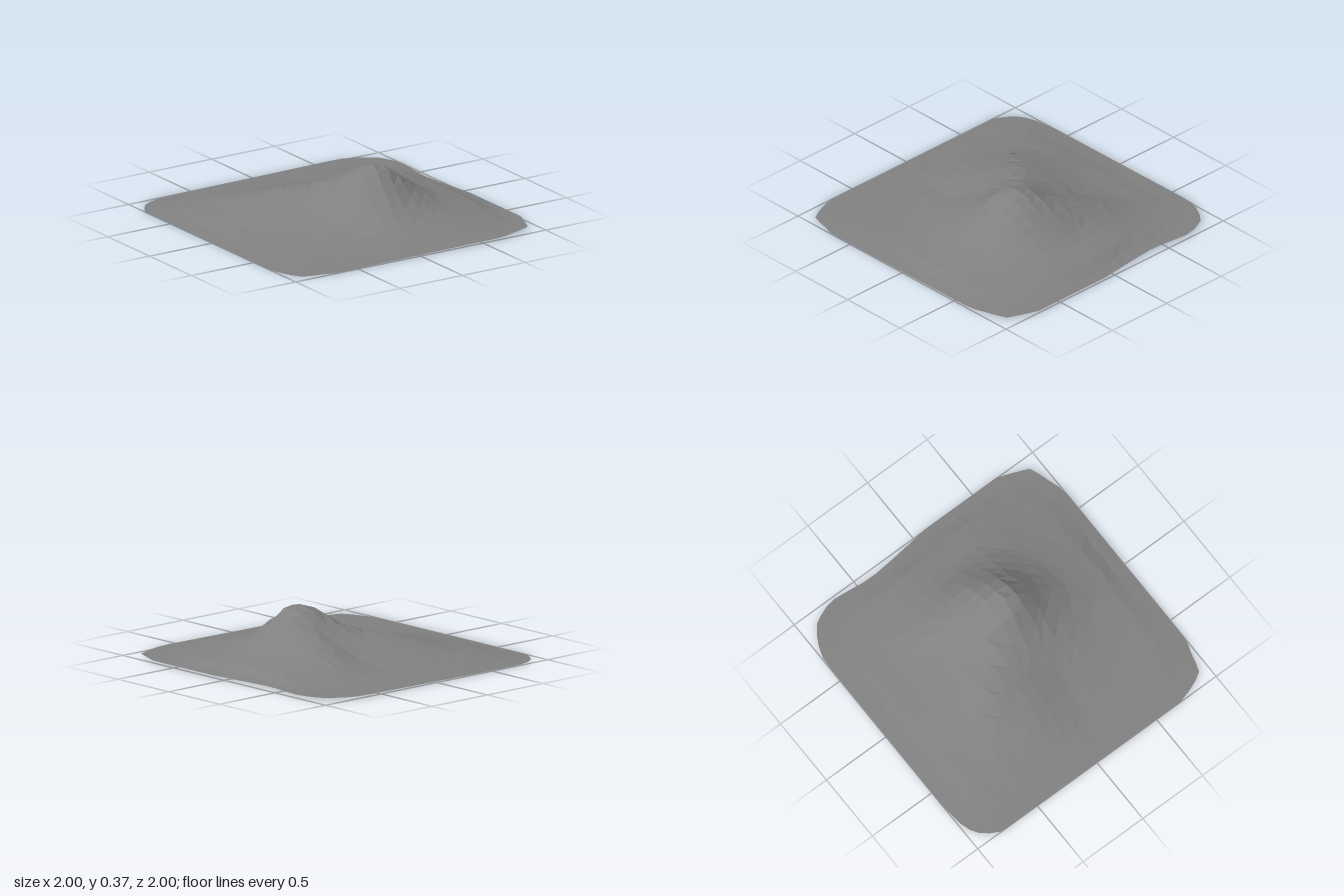
import * as THREE from 'three';

// Rounded summit, and heights at these distances along 16 bearings
// (starting at +x and turning through +z, -x and -z).
const PEAK = { x: 0.19, y: 0.375, z: 0.14 };
const REACH = [0, 0.1, 0.15, 0.3, 0.45, 0.6, 0.8, 1.0, 1.3];
const SHOULDER = 0.352;
const SLOPES = [
  [0.32, 0.20, 0.11, 0.08, 0.03, 0.02, 0.02],
  [0.32, 0.19, 0.11, 0.08, 0.04, 0.02, 0.02],
  [0.31, 0.18, 0.11, 0.075, 0.04, 0.025, 0.02],
  [0.30, 0.17, 0.105, 0.075, 0.045, 0.02, 0.02],
  [0.305, 0.18, 0.105, 0.07, 0.035, 0.02, 0.02],
  [0.31, 0.19, 0.115, 0.07, 0.035, 0.02, 0.02],
  [0.31, 0.18, 0.11, 0.06, 0.035, 0.025, 0.015],
  [0.31, 0.18, 0.11, 0.065, 0.035, 0.025, 0.015],
  [0.31, 0.19, 0.12, 0.075, 0.04, 0.025, 0.015],
  [0.32, 0.21, 0.17, 0.15, 0.1, 0.05, 0.02],
  [0.32, 0.245, 0.20, 0.185, 0.135, 0.07, 0.03],
  [0.32, 0.24, 0.18, 0.135, 0.08, 0.045, 0.02],
  [0.315, 0.21, 0.15, 0.09, 0.05, 0.03, 0.02],
  [0.32, 0.23, 0.195, 0.14, 0.065, 0.035, 0.02],
  [0.33, 0.25, 0.17, 0.11, 0.06, 0.03, 0.02],
  [0.33, 0.23, 0.13, 0.09, 0.05, 0.03, 0.02],
];

// Rounded, slightly wavy border of the land, as x, z pairs
const BORDER = [
  [1, 0.1], [1, 0.7], [0.955, 0.82], [0.91, 0.925], [0.82, 0.945], [0.66, 1],
  [-0.68, 1], [-0.78, 0.965], [-0.9, 0.94], [-0.96, 0.84], [-1, 0.7],
  [-1, -0.8], [-0.94, -0.91], [-0.83, -0.98], [-0.62, -1],
  [0.68, -1], [0.82, -0.95], [0.92, -0.87], [0.98, -0.72], [0.975, -0.62],
  [0.955, -0.5], [0.95, -0.36], [0.965, -0.2],
];

const { lerp, clamp } = THREE.MathUtils;

// Height along one bearing at distance r from the summit
function slopeHeight(slope, r) {
  const h = [PEAK.y, SHOULDER, ...slope];
  for (let i = 1; i < REACH.length; i++) {
    if (r <= REACH[i]) {
      return lerp(h[i - 1], h[i], (r - REACH[i - 1]) / (REACH[i] - REACH[i - 1]));
    }
  }
  return h[h.length - 1];
}

// Terrain height at any point, blended between the two nearest bearings
function landHeight(x, z) {
  const dx = x - PEAK.x, dz = z - PEAK.z;
  const r = Math.hypot(dx, dz);
  const n = SLOPES.length;
  const b = ((Math.atan2(dz, dx) / (2 * Math.PI) + 1) % 1) * n;
  const i = Math.floor(b) % n;
  return lerp(slopeHeight(SLOPES[i], r), slopeHeight(SLOPES[(i + 1) % n], r), b - Math.floor(b));
}

// How many times (dx, dz) fits between the summit and the border
function borderScale(dx, dz) {
  let scale = 1;
  BORDER.forEach(([x, z], i) => {
    const [x2, z2] = BORDER[(i + 1) % BORDER.length];
    const ex = x2 - x, ez = z2 - z, px = x - PEAK.x, pz = z - PEAK.z;
    const cross = dx * ez - dz * ex;
    const s = (px * ez - pz * ex) / cross;
    const t = (px * dz - pz * dx) / cross;
    if (s > 0 && t >= 0 && t <= 1) scale = s;
  });
  return scale;
}

// Square grid centred on the summit, its outer cells pulled onto the border
function terrainGeometry() {
  const half = 10, side = 2 * half + 1;
  const positions = [], index = [];
  let seed = 7;
  const jitter = (a) => {
    seed = (seed * 16807) % 2147483647;
    return (seed / 2147483647 - 0.5) * a;
  };

  for (let row = -half; row <= half; row++) {
    for (let col = -half; col <= half; col++) {
      const level = Math.max(Math.abs(row), Math.abs(col));
      if (level === 0) {
        positions.push(PEAK.x, PEAK.y, PEAK.z);
        continue;
      }
      const t = level / half;
      const dx = col / level - PEAK.x, dz = row / level - PEAK.z;
      const s = t * borderScale(dx, dz);
      const loose = level > 1 && level < half ? 0.035 : 0;
      const x = PEAK.x + dx * s + jitter(loose);
      const z = PEAK.z + dz * s + jitter(loose);
      // Land settles to the thin rim over the last stretch
      const rim = 0.012 + 0.008 * x;
      positions.push(x, lerp(rim, landHeight(x, z), clamp((1 - t) / 0.2, 0, 1)), z);
    }
  }

  // Two triangles per cell, the diagonal following the flatter pair of corners
  const y = (i) => positions[3 * i + 1];
  for (let r = 0; r < side - 1; r++) {
    for (let c = 0; c < side - 1; c++) {
      const a = r * side + c, b = a + 1, d = a + side, e = d + 1;
      if (Math.abs(y(a) - y(e)) < Math.abs(y(b) - y(d))) index.push(a, d, e, a, e, b);
      else index.push(a, d, b, b, d, e);
    }
  }

  const geometry = new THREE.BufferGeometry();
  geometry.setAttribute('position', new THREE.Float32BufferAttribute(positions, 3));
  geometry.setIndex(index);
  geometry.computeVertexNormals();
  return geometry;
}

export function createModel() {
  const group = new THREE.Group();
  group.name = 'mountainTerrain';

  // Thin open sheet of land rising to one peak with two spurs
  const land = new THREE.Mesh(
    terrainGeometry(),
    new THREE.MeshStandardMaterial({ color: 0x808080, flatShading: true, side: THREE.DoubleSide })
  );
  land.name = 'mountainLand';
  group.add(land);
  return group;
}
